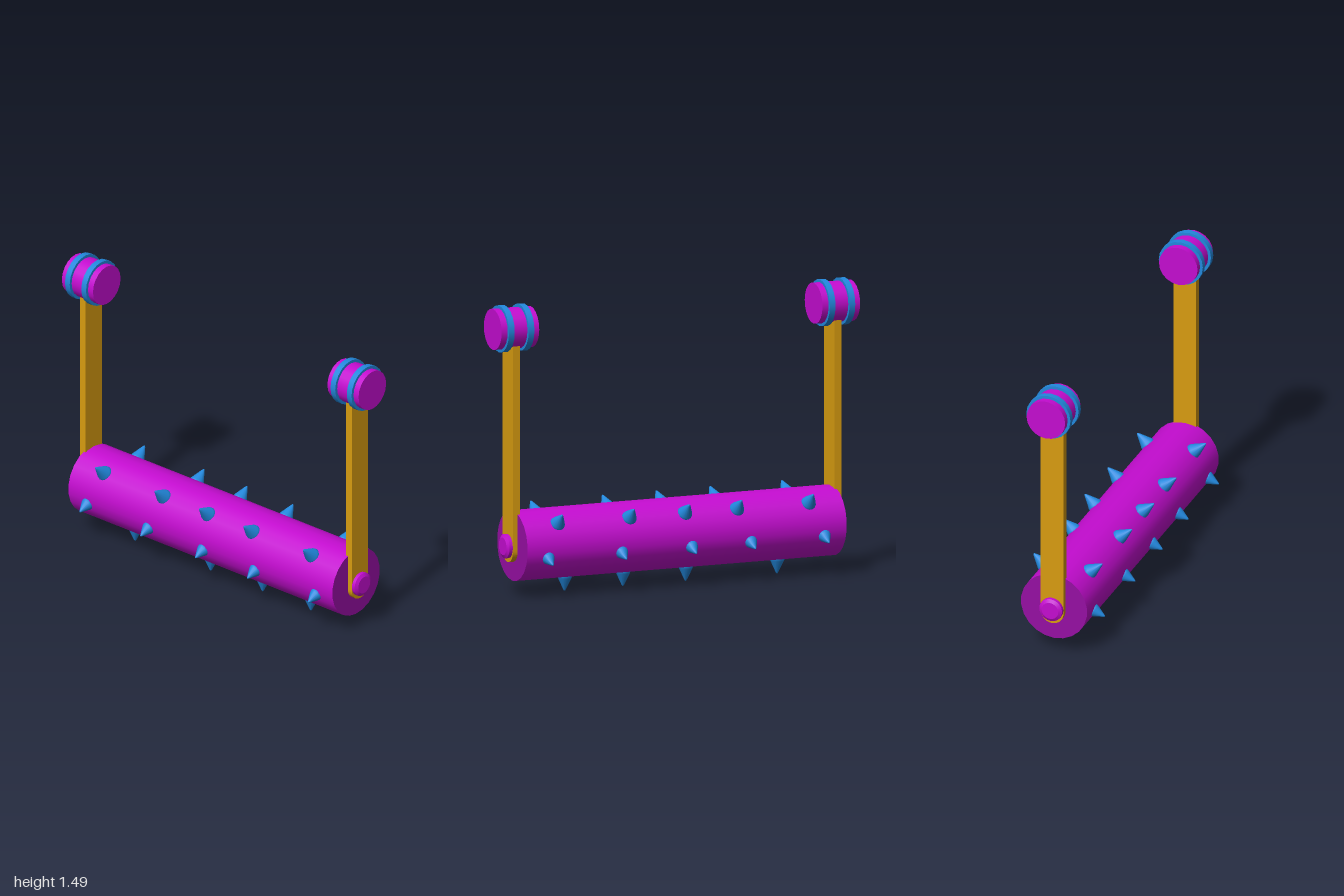
import * as THREE from 'three';

const material = (name, color) => {
  const m = new THREE.MeshStandardMaterial({ color });
  m.name = name;
  return m;
};

export function createModel() {
  const magenta = material('magenta', 0xc40cd0);
  const purple = material('dark purple', 0x960fa3);
  const gold = material('gold', 0xd89c10);
  const blue = material('blue', 0x2288dd);

  const model = new THREE.Group();
  model.name = 'spikedRoller';

  const add = (parent, name, geometry, mat, x = 0, y = 0, z = 0) => {
    const mesh = new THREE.Mesh(geometry, mat);
    mesh.name = name;
    mesh.position.set(x, y, z);
    parent.add(mesh);
    return mesh;
  };
  // Cylinder lying along z; front is the radius at +z
  const rod = (front, back, length, sides) =>
    new THREE.CylinderGeometry(front, back, length, sides).rotateX(Math.PI / 2);

  // Roller drum with darker end caps
  const axleY = 0.255;
  add(model, 'drum', rod(0.18, 0.18, 1.78, 22), [magenta, purple, purple], 0, axleY, 0);

  // Spikes: slightly rounded cones in five rows around the drum
  const spikeShape = (radius, length) => new THREE.LatheGeometry([
    [0, 0], [radius * 0.92, 0], [radius, length * 0.1], [radius * 0.9, length * 0.25],
    [radius * 0.2, length * 0.9], [radius * 0.09, length * 0.98], [0, length],
  ].map(([x, y]) => new THREE.Vector2(x, y)), 14);

  const rows = [
    { name: 'upperLeftSpike', base: [0.12, 0.365], tip: [0.187, 0.427], radius: 0.04, z: [0.7, 0.3, -0.01, -0.3, -0.7] },
    { name: 'upperRightSpike', base: [-0.108, 0.375], tip: [-0.187, 0.441], radius: 0.04, z: [0.7, 0.3, 0, -0.3, -0.7] },
    { name: 'lowerLeftSpike', base: [0.16, 0.211], tip: [0.227, 0.18], radius: 0.034, z: [0.77, 0.36, -0.03, -0.36, -0.77] },
    { name: 'lowerRightSpike', base: [-0.16, 0.211], tip: [-0.229, 0.183], radius: 0.034, z: [0.77, 0.36, 0.01, -0.36, -0.77] },
    { name: 'bottomSpike', base: [-0.007, 0.09], tip: [-0.01, 0], radius: 0.039, z: [0.595, 0.27, -0.08, -0.59] },
  ];
  const up = new THREE.Vector3(0, 1, 0);
  for (const { name, base, tip, radius, z } of rows) {
    const axis = new THREE.Vector3(tip[0] - base[0], tip[1] - base[1], 0);
    const geometry = spikeShape(radius, axis.length());
    axis.normalize();
    for (const zi of z) {
      add(model, name, geometry, blue, base[0], base[1], zi).quaternion.setFromUnitVectors(up, axis);
    }
  }

  // Flat arm with a rounded lower end
  const armShape = new THREE.Shape();
  armShape.moveTo(0.062, 1.33);
  armShape.lineTo(-0.062, 1.33);
  armShape.lineTo(-0.062, 0.235);
  armShape.absarc(0, 0.235, 0.062, Math.PI, Math.PI * 2, false);
  armShape.closePath();
  const armGeometry = new THREE.ExtrudeGeometry(armShape, { depth: 0.04, bevelEnabled: false, curveSegments: 10 });
  armGeometry.translate(0, 0, -0.02);

  // An arm, axle bolt and banded handle at each end
  for (const side of [1, -1]) {
    const end = new THREE.Group();
    end.name = side > 0 ? 'frontSupport' : 'backSupport';
    end.rotation.y = side > 0 ? 0 : Math.PI;
    model.add(end);
    add(end, 'arm', armGeometry, gold, 0, 0, 0.897);
    add(end, 'axleBolt', rod(0.062, 0.062, 0.06, 20), magenta, 0, axleY, 0.905);
    add(end, 'axleBoltTip', rod(0.045, 0.062, 0.01, 20), magenta, 0, axleY, 0.94);
    add(end, 'handle', rod(0.105, 0.105, 0.21, 20), magenta, 0, 1.37, 0.895);
    for (const z of [0.84, 0.95]) {
      add(end, 'handleBand', rod(0.12, 0.12, 0.032, 20), blue, 0, 1.37, z);
    }
  }
  return model;
}
